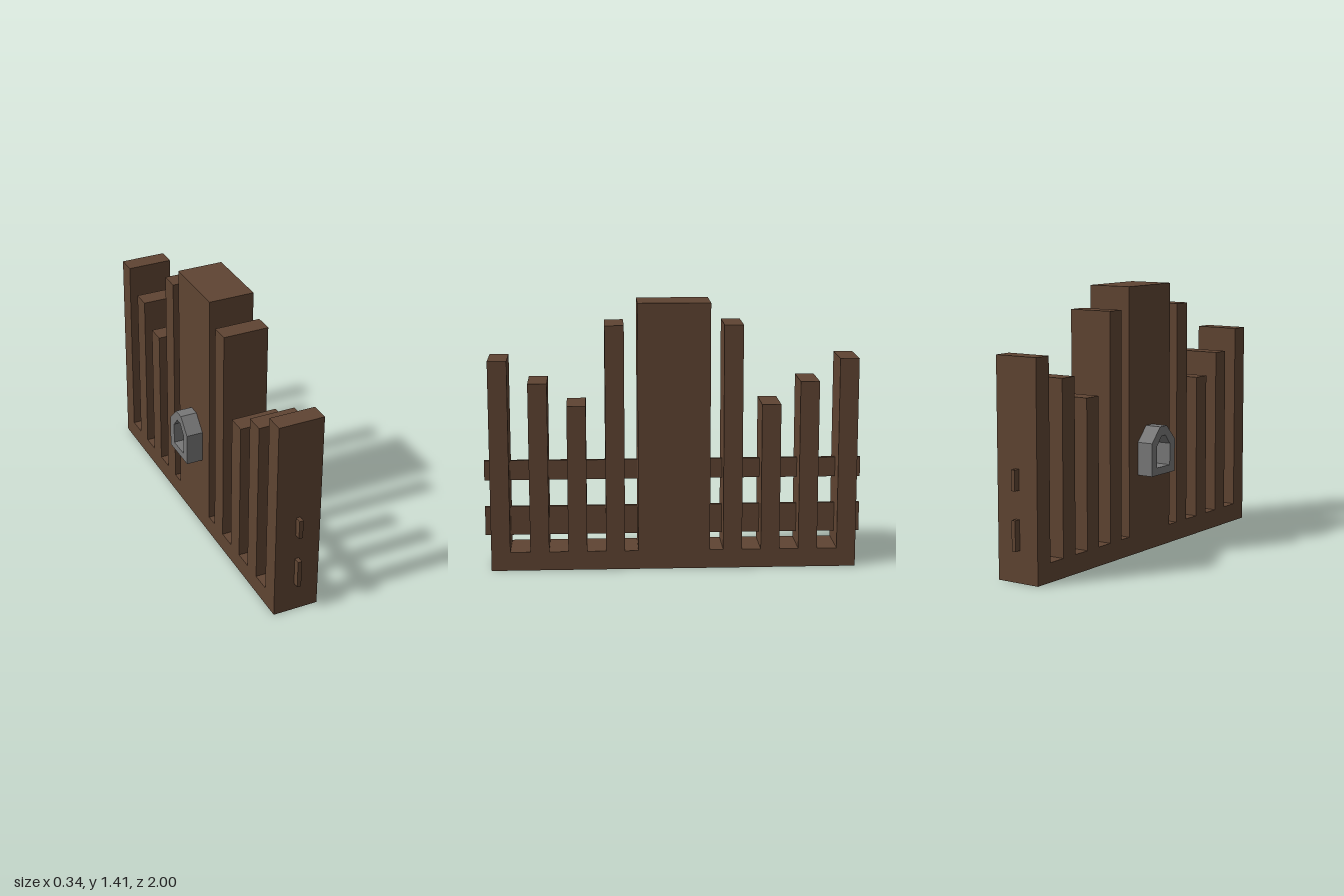
import * as THREE from 'three';

const WOOD = new THREE.MeshStandardMaterial({ color: 0x5f4432 });
const METAL = new THREE.MeshStandardMaterial({ color: 0x777777 });

// Extrude a (z, y) outline along x between xMin and xMax
function slab(name, outline, hole, xMin, xMax, material) {
  const toPoints = (list) => list.map(([z, y]) => new THREE.Vector2(z, y));
  const shape = new THREE.Shape(toPoints(outline));
  if (hole) shape.holes.push(new THREE.Path(toPoints(hole)));
  const geometry = new THREE.ExtrudeGeometry(shape, { depth: xMax - xMin, bevelEnabled: false });
  geometry.rotateY(-Math.PI / 2).translate(xMax, 0, 0);
  const mesh = new THREE.Mesh(geometry, material);
  mesh.name = name;
  return mesh;
}

export function createModel() {
  const model = new THREE.Group();
  model.name = 'picketFence';

  // Pickets and base as one comb outline: [inner z, outer z, height], mirrored in z
  const baseTop = 0.1;
  const pickets = [
    [0.26, 0.36, 1.3],
    [0.46, 0.56, 0.88],
    [0.66, 0.76, 1.0],
    [0.865, 0.965, 1.12],
  ];
  const half = [[0.19, 1.415], [0.19, baseTop]];
  pickets.forEach(([inner, outer, height], i) => {
    half.push([inner, baseTop], [inner, height], [outer, height]);
    half.push([outer, i === pickets.length - 1 ? 0 : baseTop]);
  });
  const mirrored = half.map(([z, y]) => [-z, y]).reverse();
  model.add(slab('picketsAndBase', [...half, ...mirrored], null, -0.08, 0.165, WOOD));

  // Thin rails running through the pickets
  for (const [name, bottom, top] of [['lowerRail', 0.165, 0.32], ['upperRail', 0.465, 0.57]]) {
    const rail = new THREE.Mesh(new THREE.BoxGeometry(0.022, top - bottom, 2), WOOD);
    rail.name = name;
    rail.position.set(0.041, (bottom + top) / 2, 0);
    model.add(rail);
  }

  // Metal loop with chamfered top on the central post
  const loop = (w, flat, bottom, shoulder, top) =>
    [[-w, bottom], [w, bottom], [w, shoulder], [flat, top], [-flat, top], [-w, shoulder]];
  const latch = slab('metalLoop', loop(0.108, 0.031, 0.42, 0.595, 0.675),
    loop(0.06, 0.018, 0.46, 0.575, 0.625), -0.17, -0.08, METAL);
  latch.position.z = -0.003;
  model.add(latch);

  return model;
}
